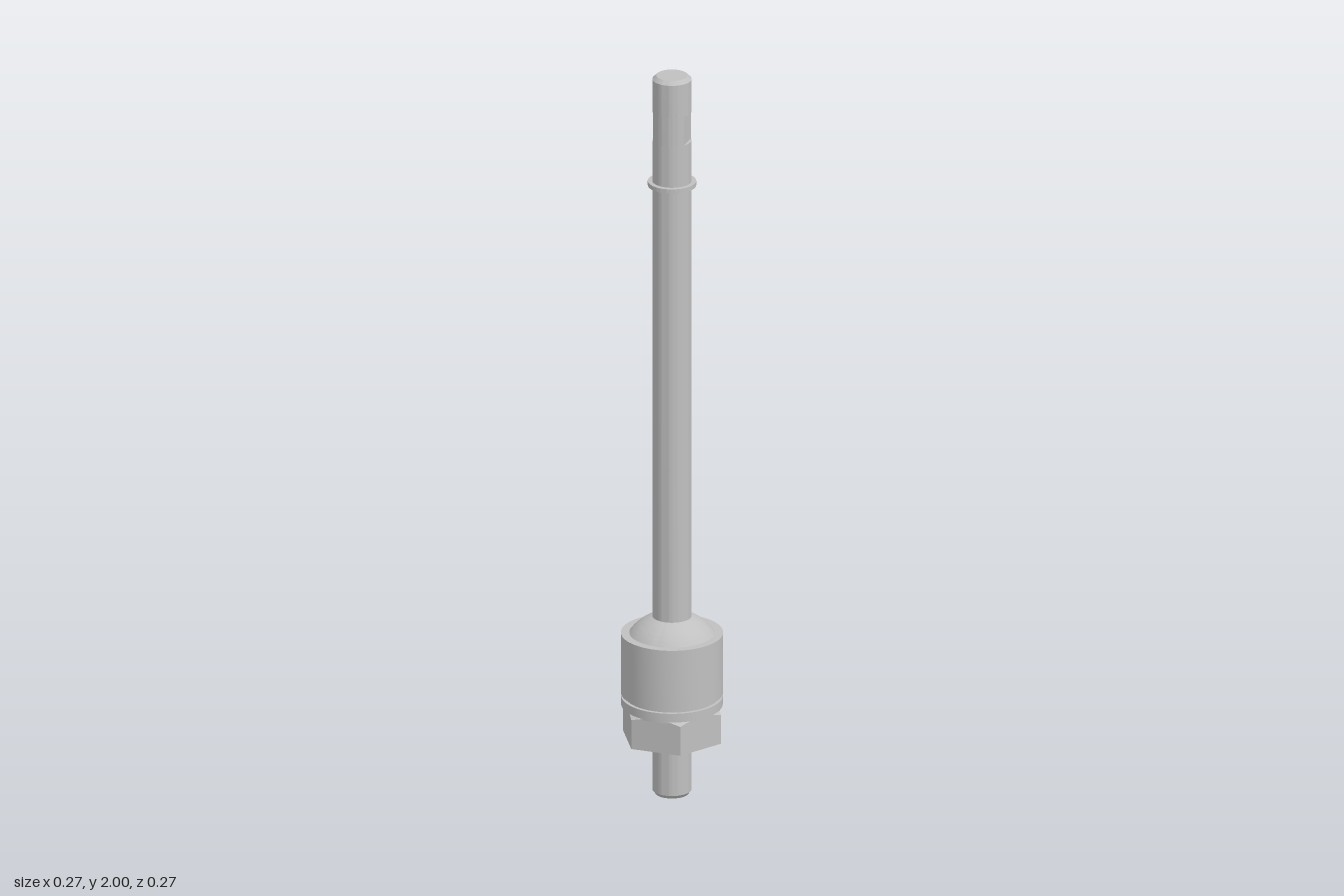
import * as THREE from 'three';
import { toCreasedNormals } from 'three/addons/utils/BufferGeometryUtils.js';

const steel = new THREE.MeshStandardMaterial({ color: 0xc0c0c0 });
steel.name = 'steel grey';

const ROD = 0.051;

function mesh(name, geometry) {
  const m = new THREE.Mesh(toCreasedNormals(geometry, 0.35), steel);
  m.name = name;
  return m;
}

// Solid of revolution from [radius, height] pairs, listed bottom to top
function turned(points, segments = 72) {
  return new THREE.LatheGeometry(points.map(([r, y]) => new THREE.Vector2(r, y)), segments);
}

// Rod section with two parallel flats facing left and right
function flattedSection(y0, y1, halfWidth) {
  const a = Math.acos(halfWidth / ROD);
  const shape = new THREE.Shape();
  shape.absarc(0, 0, ROD, a, Math.PI - a, false);
  shape.absarc(0, 0, ROD, Math.PI + a, 2 * Math.PI - a, false);
  shape.closePath();
  const g = new THREE.ExtrudeGeometry(shape, { depth: y1 - y0, bevelEnabled: false, curveSegments: 24 });
  return g.rotateX(-Math.PI / 2).translate(0, y0, 0);
}

// Hexagon with corners on the x axis and a conical chamfer on its top edge
function hexNut(y0, y1, apothem) {
  const g = turned([[0, y0], [1, y0], [1, y1], [apothem - 0.002, y1], [0, y1]]);
  const p = g.attributes.position;
  const sector = Math.PI / 3;
  for (let i = 0; i < p.count; i++) {
    const x = p.getX(i), z = p.getZ(i);
    if (Math.hypot(x, z) < 0.9) continue;
    const angle = Math.atan2(x, z);
    const r = apothem / Math.cos(angle - sector * Math.round(angle / sector));
    const drop = p.getY(i) > (y0 + y1) / 2 ? (r - apothem + 0.002) * 0.58 : 0;
    p.setXYZ(i, r * Math.sin(angle), p.getY(i) - drop, r * Math.cos(angle));
  }
  return g;
}

export function createModel() {
  const model = new THREE.Group();
  model.name = 'threadedRodAssembly';

  // Rod: long shank, wrench flats, chamfered head
  model.add(mesh('rodShank', turned([[0, 0], [0.043, 0], [ROD, 0.01], [ROD, 1.82], [0, 1.82]])));
  model.add(mesh('wrenchFlats', flattedSection(1.82, 1.9, 0.043)));
  model.add(mesh('rodHead', turned([[0, 1.9], [ROD, 1.9], [ROD, 1.99], [0.041, 2], [0, 2]])));

  // Thin retaining ring near the top
  model.add(mesh('retainingRing', turned([[0.045, 1.694], [0.063, 1.694], [0.063, 1.706], [0.045, 1.706]])));

  // Housing sleeve
  model.add(mesh('housing', turned([[0, 0.28], [0.133, 0.28], [0.133, 0.447], [0, 0.447]])));

  // Domed cap on the housing
  const dome = [[0.111, 0.44]];
  const a0 = Math.acos(0.111 / 0.138), a1 = Math.acos(0.05 / 0.138);
  for (let i = 0; i <= 12; i++) {
    const a = a0 + (a1 - a0) * i / 12;
    dome.push([0.138 * Math.cos(a), 0.365 + 0.138 * Math.sin(a)]);
  }
  model.add(mesh('domedCap', turned(dome)));

  // Recessed neck and washer between housing and nut
  model.add(mesh('neck', turned([[0, 0.24], [0.123, 0.24], [0.123, 0.281], [0, 0.281]])));
  model.add(mesh('washer', turned([[0, 0.247], [0.132, 0.247], [0.132, 0.271], [0, 0.271]])));

  // Hexagonal nut
  model.add(mesh('hexNut', hexNut(0.155, 0.247, 0.118)));

  return model;
}
